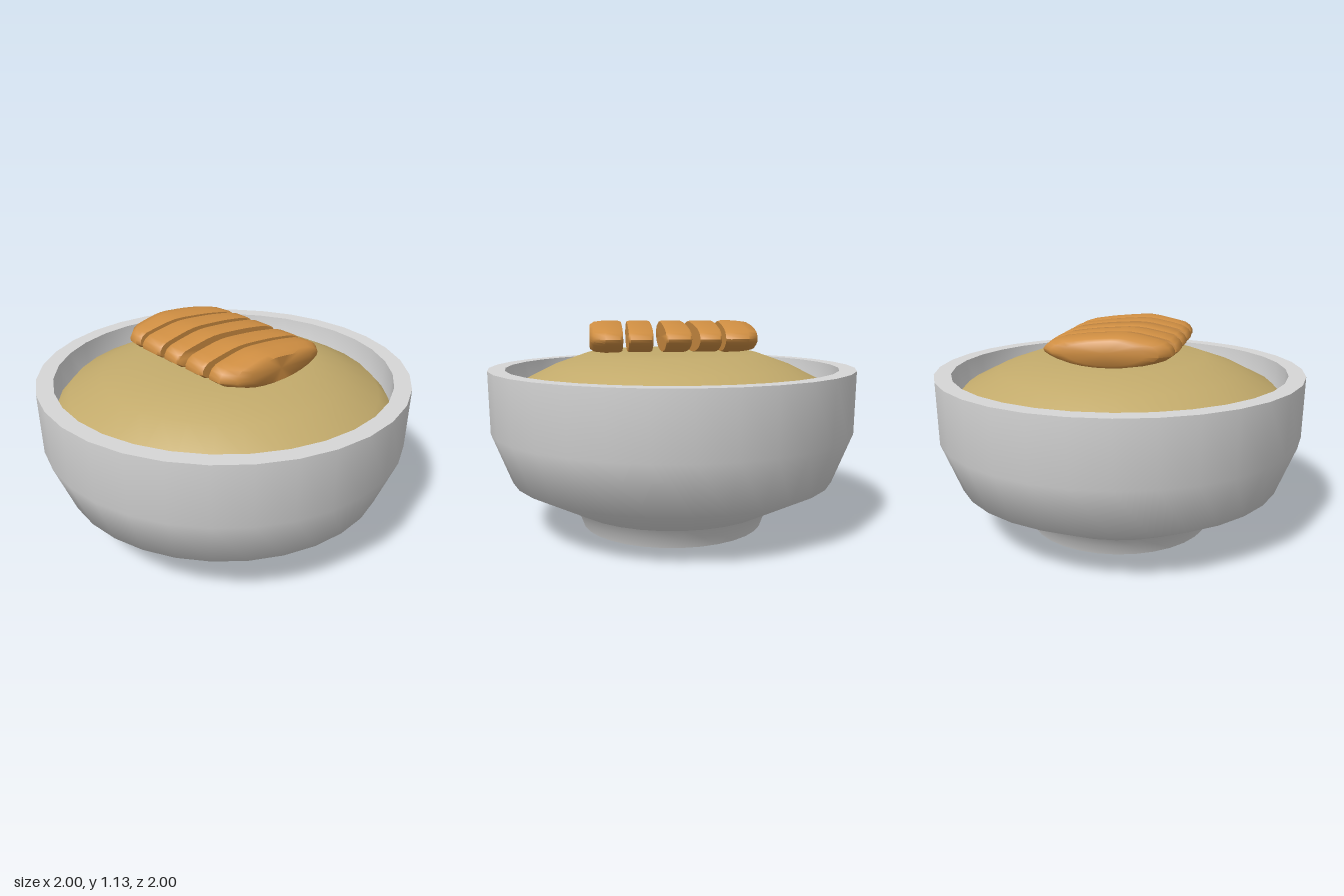
import * as THREE from 'three';
import { toCreasedNormals } from 'three/addons/utils/BufferGeometryUtils.js';

const bowlGrey = new THREE.MeshStandardMaterial({ name: 'bowlGrey', color: 0xd6d6d6 });
const mashTan = new THREE.MeshStandardMaterial({ name: 'mashTan', color: 0xc2aa6b });
const crustBrown = new THREE.MeshStandardMaterial({ name: 'crustBrown', color: 0xcf8e42 });

// Repeated profile points give a sharp edge in the lathe
function lathe(name, points, material) {
  const profile = points.map(([r, y]) => new THREE.Vector2(r, y));
  const mesh = new THREE.Mesh(new THREE.LatheGeometry(profile, 32), material);
  mesh.name = name;
  return mesh;
}

// Lens-shaped outline of a slice, seen from the front
const outline = new THREE.CatmullRomCurve3([
  [-0.36, 1.03], [-0.34, 1.08], [-0.24, 1.11], [-0.12, 1.13], [0, 1.125], [0.15, 1.11],
  [0.29, 1.08], [0.33, 1.04], [0.27, 1.0], [0.13, 0.967], [-0.08, 0.96], [-0.26, 0.985],
].map(([x, y]) => new THREE.Vector3(x, y, 0)), true).getPoints(28).slice(0, -1);
const CX = -0.02, CY = 1.045;

// Loft through stations [z, x scale, y scale, z skew along x], capped at both ends
function slice(name, stations) {
  const n = outline.length, pos = [], idx = [];
  for (const [z, sx, sy, skew = 0] of stations) {
    for (const p of outline) {
      const x = CX + (p.x - CX) * sx;
      pos.push(x, CY + (p.y - CY) * sy, z + skew * x);
    }
  }
  const last = stations.length - 1;
  for (let i = 0; i < last; i++) {
    for (let j = 0; j < n; j++) {
      const k = (j + 1) % n;
      const a = i * n + j, b = i * n + k, c = a + n, d = b + n;
      idx.push(a, c, b, b, c, d);
    }
  }
  const c0 = pos.length / 3, c1 = c0 + 1;
  for (const i of [0, last]) {
    const [z, , , skew = 0] = stations[i];
    pos.push(CX, CY, z + skew * CX);
  }
  for (let j = 0; j < n; j++) {
    const k = (j + 1) % n;
    idx.push(c0, j, k, c1, last * n + k, last * n + j);
  }
  const geometry = new THREE.BufferGeometry();
  geometry.setAttribute('position', new THREE.Float32BufferAttribute(pos, 3));
  geometry.setIndex(idx);
  const mesh = new THREE.Mesh(toCreasedNormals(geometry, 0.9), crustBrown);
  mesh.name = name;
  return mesh;
}

export function createModel() {
  const model = new THREE.Group();
  model.name = 'bowlOfFood';

  // Footed bowl: base, foot, outer wall, rim, inner wall
  model.add(lathe('bowl', [
    [0, 0], [0.505, 0], [0.505, 0], [0.525, 0.055], [0.565, 0.11], [0.565, 0.11],
    [0.89, 0.28], [0.995, 0.55], [1, 0.88], [1, 0.88],
    [0.91, 0.88], [0.91, 0.88], [0.9, 0.6], [0.75, 0.4], [0, 0.3],
  ], bowlGrey));

  // Domed filling
  model.add(lathe('filling', [
    [0.905, 0.73], [0.84, 0.8], [0.66, 0.89], [0.47, 0.957], [0.2, 0.96], [0, 0.96],
  ], mashTan));

  // Five slices laid out from back to front
  const slices = new THREE.Group();
  slices.name = 'slices';
  slices.add(
    slice('backEndSlice', [
      [-0.44, 0.6, 0.72], [-0.425, 0.8, 0.88], [-0.37, 0.95, 0.97],
      [-0.29, 0.98, 1, 0.05], [-0.265, 0.94, 0.93, 0.05],
    ]),
    slice('backSlice', [
      [-0.235, 0.97, 0.93, 0.03], [-0.225, 1, 0.97, 0.03],
      [-0.12, 1, 0.97, -0.03], [-0.105, 0.97, 0.93, -0.03],
    ]),
    slice('middleSlice', [
      [-0.065, 0.97, 0.92, -0.02], [-0.055, 1, 0.97, -0.02],
      [0.05, 1, 0.97], [0.06, 0.97, 0.93],
    ]),
    slice('frontSlice', [
      [0.12, 0.97, 0.93, 0.02], [0.13, 1, 0.97, 0.02],
      [0.235, 1, 0.97, 0.02], [0.248, 0.97, 0.92, 0.01],
    ]),
    slice('frontEndSlice', [
      [0.28, 0.93, 0.92], [0.295, 0.98, 0.98],
      [0.37, 0.97, 1], [0.43, 0.82, 0.92], [0.452, 0.6, 0.75],
    ]),
  );
  model.add(slices);
  return model;
}
